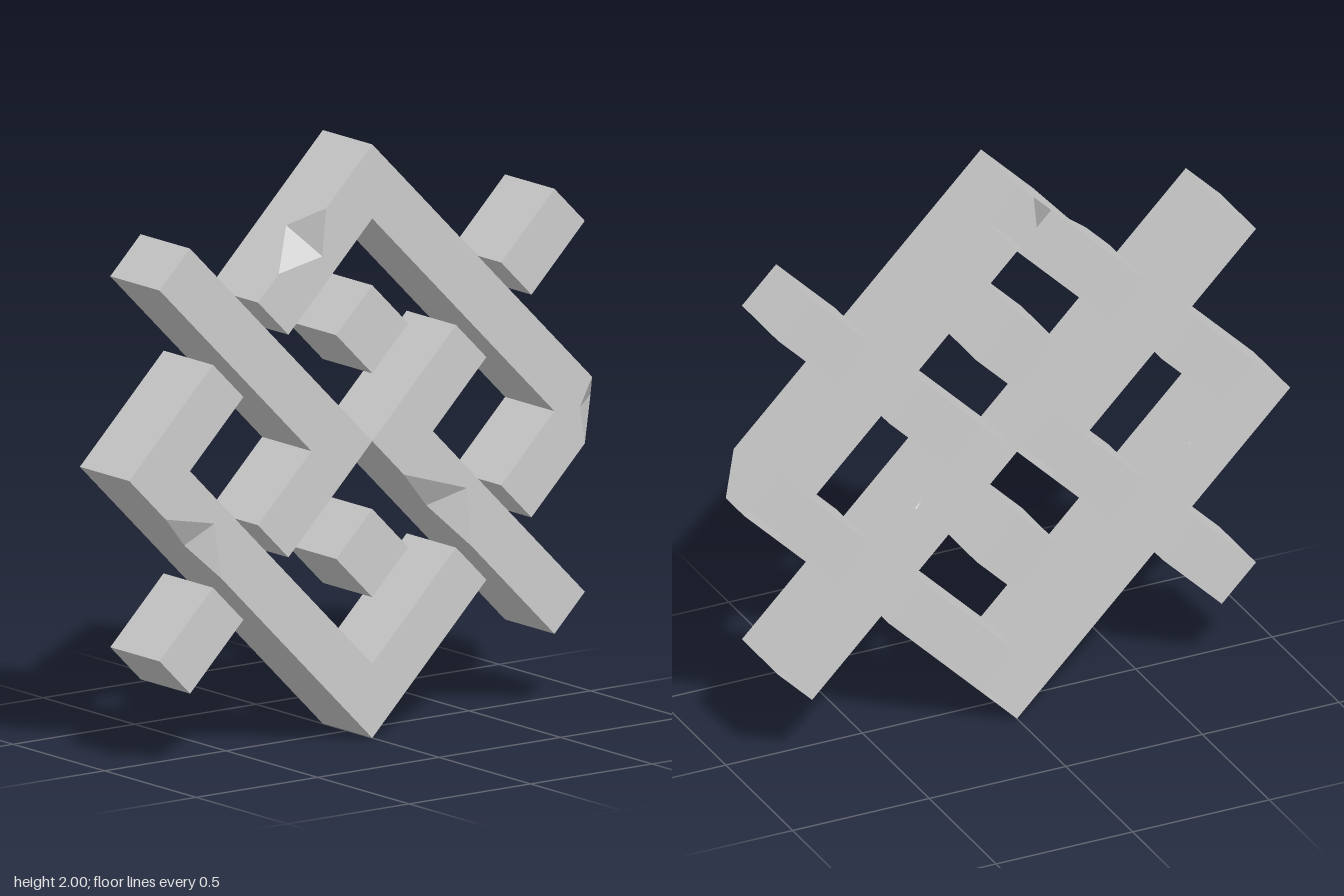
import * as THREE from 'three';

const D = 0.135; // half depth
const grey = () => new THREE.MeshStandardMaterial({ color: 0xcccccc, flatShading: true, side: THREE.DoubleSide });

// half turn about the centre of the lattice
const turn = (pts) => pts.map(([x, y]) => [-x, 2 - y]);

// Band with an open-backed long bar and closed arms.
// rim: counter-clockwise outline [x, y]; a chip is [x, y, z, fx, fy], a point sunk
// to depth z on the side wall and its partner (fx, fy) on the front face.
// arms: the outlines closed at the back.
function band(name, rim, arms) {
  const pos = [];
  const tri = (...p) => p.forEach((v) => pos.push(...v));
  const flat = (pts, z, reverse) => {
    const v = pts.map(([x, y]) => new THREE.Vector2(x, y));
    for (const [a, b, c] of THREE.ShapeUtils.triangulateShape(v, [])) {
      const order = reverse ? [c, b, a] : [a, b, c];
      tri(...order.map((i) => [v[i].x, v[i].y, z]));
    }
  };
  const edge = rim.map(([x, y, z = D]) => [x, y, z]);
  const n = rim.length;

  // front face
  flat(rim.map((p) => (p.length > 2 ? [p[3], p[4]] : p)), D, false);
  // closed backs of the arms
  arms.forEach((a) => flat(a, -D, true));
  // side walls and chips
  rim.forEach((p, i) => {
    const a = edge[i], b = edge[(i + 1) % n], prev = edge[(i + n - 1) % n];
    const a0 = [a[0], a[1], -D], b0 = [b[0], b[1], -D];
    tri(a0, b0, b);
    tri(a0, b, a);
    if (p.length > 2) {
      const f = [p[3], p[4], D];
      tri(prev, a, f);
      tri(a, b, f);
    }
  });

  const geo = new THREE.BufferGeometry();
  geo.setAttribute('position', new THREE.Float32BufferAttribute(pos, 3));
  geo.computeVertexNormals();
  const mesh = new THREE.Mesh(geo, grey());
  mesh.name = name;
  return mesh;
}

// Solid block set at 45 degrees
function block(name, x, y, length, width) {
  const mesh = new THREE.Mesh(new THREE.BoxGeometry(length, width, 2 * D), grey());
  mesh.rotation.z = Math.PI / 4;
  mesh.position.set(x, y, 0);
  mesh.name = name;
  return mesh;
}

export function createModel() {
  const group = new THREE.Group();
  group.name = 'lattice';

  // upper hook, chipped on its short arm and at the side corner
  const hookArms = [
    [[-0.125, 1.875], [-0.47, 1.53], [-0.345, 1.405], [0, 1.75]],
    [[0.875, 0.875], [0.75, 1], [0.53, 0.78], [0.655, 0.655]],
  ];
  const upperHook = [
    [0, 2], [-0.19, 1.81], [-0.26, 1.74, 0.01, -0.205, 1.65], [-0.385, 1.615],
    [-0.47, 1.53], [-0.345, 1.405], [0, 1.75], [0.75, 1], [0.53, 0.78], [0.655, 0.655],
    [0.875, 0.875], [1, 1, 0, 0.855, 1], [0.905, 1.095],
  ];
  group.add(band('upperHook', upperHook, hookArms));

  // lower hook, chipped on the outside of its long bar
  const lowerHook = [
    [0, 0], [0.47, 0.47], [0.345, 0.595], [0, 0.25], [-0.75, 1], [-0.53, 1.22], [-0.655, 1.345],
    [-1, 1], [-0.85, 0.85], [-0.74, 0.74, 0.09, -0.65, 0.81], [-0.62, 0.62],
  ];
  group.add(band('lowerHook', lowerHook, hookArms.map(turn)));

  // two angles meeting at the centre, the right-hand one chipped
  const angle = [[0, 1], [0.75, 0.25], [0.875, 0.375], [0.25, 1], [0.47, 1.22], [0.345, 1.345]];
  const angleArm = [[0.125, 1.125], [0.25, 1], [0.47, 1.22], [0.345, 1.345]];
  const angleChip = [[0.13, 0.87], [0.26, 0.74, 0.085, 0.39, 0.79], [0.41, 0.59]];
  group.add(band('lowerAngle', [angle[0], ...angleChip, ...angle.slice(1)], [angleArm]));
  group.add(band('upperAngle', turn(angle), [turn(angleArm)]));

  // centre diamonds and outer stubs
  for (const [s, side] of [[1, 'upper'], [-1, 'lower']]) {
    group.add(block(side + 'Diamond', 0, 1 + s * 0.377, 0.21, 0.21));
    group.add(block(side + 'Stub', s * 0.7025, 1 + s * 0.5775, 0.31, 0.177));
  }
  return group;
}
